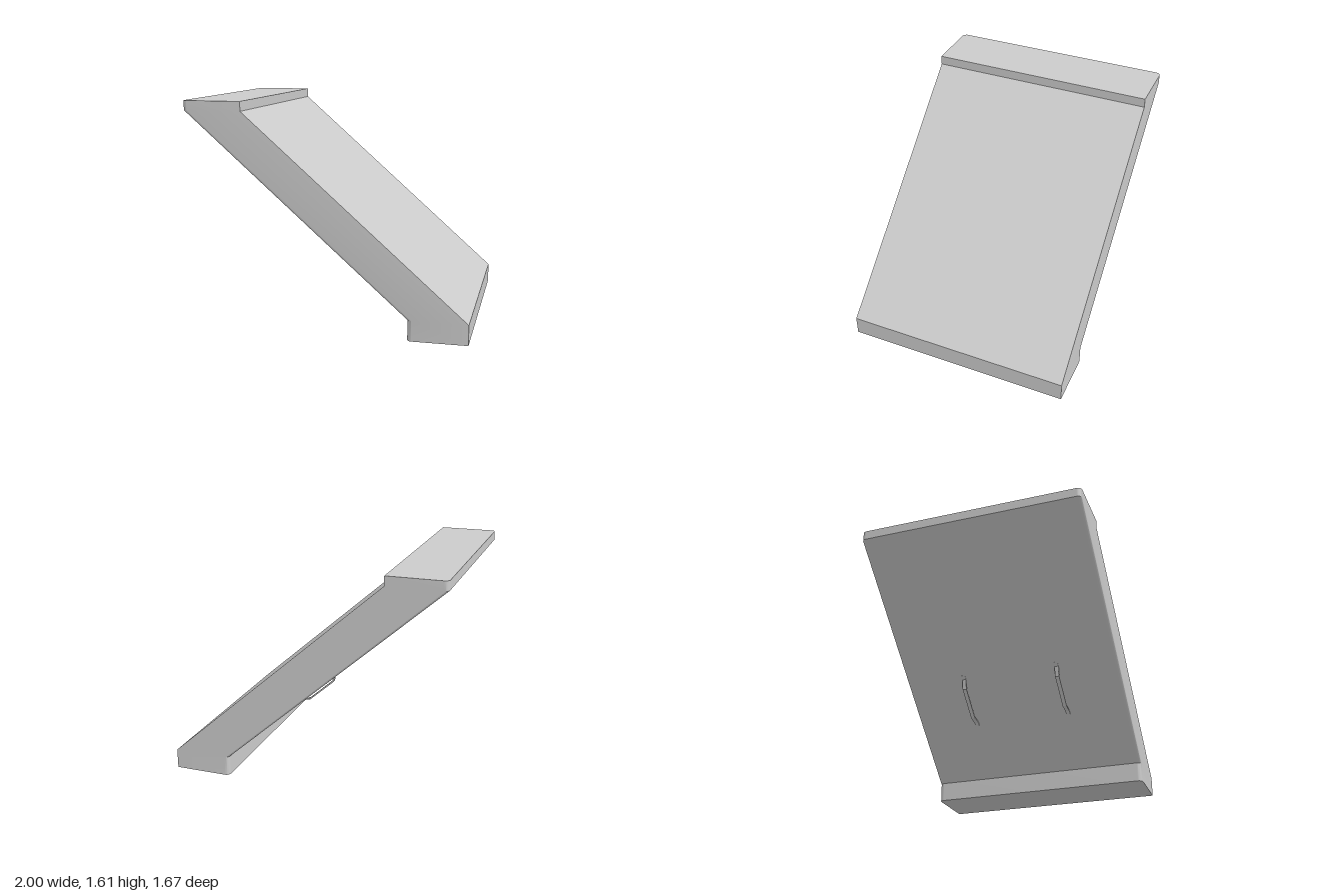
import * as THREE from 'three';
import { toCreasedNormals } from 'three/addons/utils/BufferGeometryUtils.js';

const material = new THREE.MeshStandardMaterial({ color: 0xcccccc });

// Slanted body: a flat section with two rounded rear corners, extruded
// upward in three stages; the middle stage leans toward -x.
function makeBody() {
  const half = 0.835, r = 0.035, back = -0.21, front = 0.21;
  const section = new THREE.Shape();
  section.moveTo(front, -half);
  section.lineTo(front, half);
  section.lineTo(back + r, half);
  section.absarc(back + r, half - r, r, Math.PI / 2, Math.PI, false);
  section.lineTo(back, -half + r);
  section.absarc(back + r, -half + r, r, Math.PI, Math.PI * 1.5, false);
  section.closePath();

  const geometry = new THREE.ExtrudeGeometry(section, {
    depth: 3, steps: 3, bevelEnabled: false, curveSegments: 8,
  });
  geometry.rotateX(-Math.PI / 2);

  // Height and x shift of each stage
  const heights = [0, 0.143, 1.537, 1.605];
  const shifts = [0.79, 0.79, -0.79, -0.79];
  const pos = geometry.attributes.position;
  for (let i = 0; i < pos.count; i++) {
    const stage = Math.round(pos.getY(i));
    pos.setX(i, pos.getX(i) + shifts[stage]);
    pos.setY(i, heights[stage]);
  }
  const mesh = new THREE.Mesh(toCreasedNormals(geometry, 0.5), material);
  mesh.name = 'slantedBody';
  return mesh;
}

// Bent strap handle with two feet lying on the underside
function makeHandle(z) {
  const width = 0.03, thickness = 0.01;
  const path = [
    [-0.112, 0.757], [-0.085, 0.733], [-0.071, 0.657],
    [0.112, 0.495], [0.188, 0.48], [0.212, 0.462],
  ].map(([x, y]) => new THREE.Vector2(x, y));

  // Offset the centre line to both sides, mitred at the bends
  const sides = [[], []];
  path.forEach((p, i) => {
    const before = path[Math.max(i - 1, 0)], after = path[Math.min(i + 1, path.length - 1)];
    const a = p.clone().sub(i ? before : p).normalize();
    const b = after.clone().sub(p).normalize();
    const t = a.clone().add(b).normalize();
    const n = new THREE.Vector2(-t.y, t.x);
    const cosHalf = Math.max(0.5, t.dot(i ? a : b));
    [1, -1].forEach((s, k) => sides[k].push(p.clone().addScaledVector(n, s * thickness / 2 / cosHalf)));
  });
  const outline = new THREE.Shape([...sides[1], ...sides[0].reverse()]);
  const geometry = new THREE.ExtrudeGeometry(outline, { depth: width, bevelEnabled: false });
  geometry.translate(0, 0, z - width / 2);
  const mesh = new THREE.Mesh(geometry, material);
  mesh.name = z > 0 ? 'frontHandle' : 'backHandle';
  return mesh;
}

export function createModel() {
  const model = new THREE.Group();
  model.name = 'slantedPanel';
  model.add(makeBody());
  for (const side of [1, -1]) model.add(makeHandle(side * 0.37));
  return model;
}
